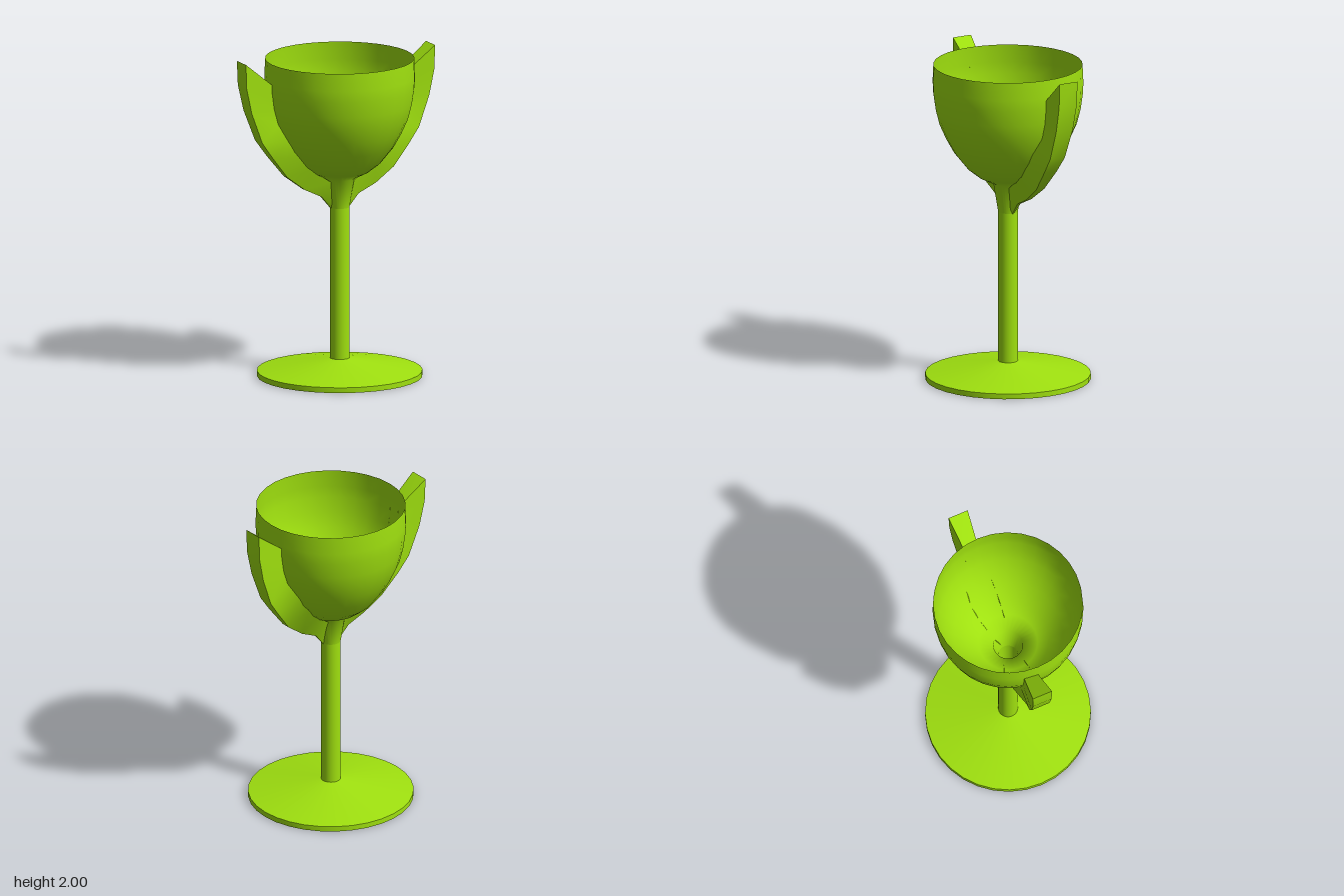
import * as THREE from 'three';
import { toCreasedNormals } from 'three/addons/utils/BufferGeometryUtils.js';

const SEGMENTS = 32;
const material = new THREE.MeshStandardMaterial({ color: 0x9fe00f, side: THREE.DoubleSide });

// Bowl wall as [radius, height], from the flared neck up to the open rim
const bowlProfile = [
  [0.06, 1.05], [0.09, 1.23], [0.18, 1.275], [0.25, 1.33], [0.33, 1.43], [0.38, 1.52],
  [0.42, 1.61], [0.443, 1.7], [0.457, 1.8], [0.46, 1.87], [0.455, 1.98],
];

// Wing cross-sections from tip to root: outer x, outer y, outer back z, outer front z,
// then height, back z and front z where the section meets the bowl
const wingSections = [
  [0.64, 2.0, -0.115, 0.012, 1.855, -0.09, 0.0],
  [0.635, 1.85, -0.112, 0.012, 1.78, -0.09, 0.0],
  [0.6, 1.69, -0.105, 0.012, 1.69, -0.09, 0.0],
  [0.53, 1.5, -0.09, 0.014, 1.6, -0.095, 0.005],
  [0.46, 1.4, -0.075, 0.014, 1.5, -0.13, 0.04],
  [0.36, 1.27, -0.045, 0.012, 1.39, -0.13, 0.05],
  [0.24, 1.18, -0.025, 0.01, 1.31, -0.11, 0.05],
  [0.125, 1.125, -0.015, 0.008, 1.22, -0.06, 0.04],
  [0.06, 1.045, -0.004, 0.004, 1.08, -0.02, 0.02],
];

function lathe(name, profile, crease) {
  const points = profile.map(([r, y]) => new THREE.Vector2(r, y));
  let geometry = new THREE.LatheGeometry(points, SEGMENTS);
  if (crease) geometry = toCreasedNormals(geometry, crease);
  const mesh = new THREE.Mesh(geometry, material);
  mesh.name = name;
  return mesh;
}

// Radius of the bowl wall at a height
function bowlRadius(y) {
  const i = Math.max(1, bowlProfile.findIndex((p) => p[1] >= y));
  const [r0, y0] = bowlProfile[i - 1];
  const [r1, y1] = bowlProfile[i];
  return THREE.MathUtils.mapLinear(y, y0, y1, r0, r1);
}

// Wing shell: back wall, outer edge and front wall, closed at the tip
function wing(name, side) {
  const positions = [];
  const indices = [];
  for (const [x, y, zBack, zFront, wallY, wallBack, wallFront] of wingSections) {
    const r = bowlRadius(wallY);
    const wallX = (z) => Math.sqrt(r * r - z * z);
    const ring = [
      [wallX(wallBack), wallY, wallBack], [x, y, zBack],
      [x, y, zFront], [wallX(wallFront), wallY, wallFront],
    ];
    for (const [px, py, pz] of ring) positions.push(px * side, py, pz);
  }
  const quad = (a, b, c, d) => {
    if (side > 0) indices.push(a, b, c, a, c, d);
    else indices.push(a, c, b, a, d, c);
  };
  quad(0, 3, 2, 1);
  for (let s = 0; s < wingSections.length - 1; s++) {
    for (let k = 0; k < 3; k++) {
      const a = s * 4 + k;
      quad(a, a + 1, a + 5, a + 4);
    }
  }
  const geometry = new THREE.BufferGeometry();
  geometry.setAttribute('position', new THREE.Float32BufferAttribute(positions, 3));
  geometry.setIndex(indices);
  const mesh = new THREE.Mesh(toCreasedNormals(geometry, 0.9), material);
  mesh.name = name;
  return mesh;
}

export function createModel() {
  const model = new THREE.Group();
  model.name = 'wingedGoblet';
  // Foot with a thin rim and a shallow cone
  model.add(lathe('foot', [[0, 0], [0.505, 0], [0.505, 0.033], [0.06, 0.11]], 0.6));
  // Hollow stem
  model.add(lathe('stem', [[0.06, 0.11], [0.06, 1.05]]));
  // Open bowl
  model.add(lathe('bowl', bowlProfile));
  // Side wings
  model.add(wing('leftWing', 1), wing('rightWing', -1));
  return model;
}
